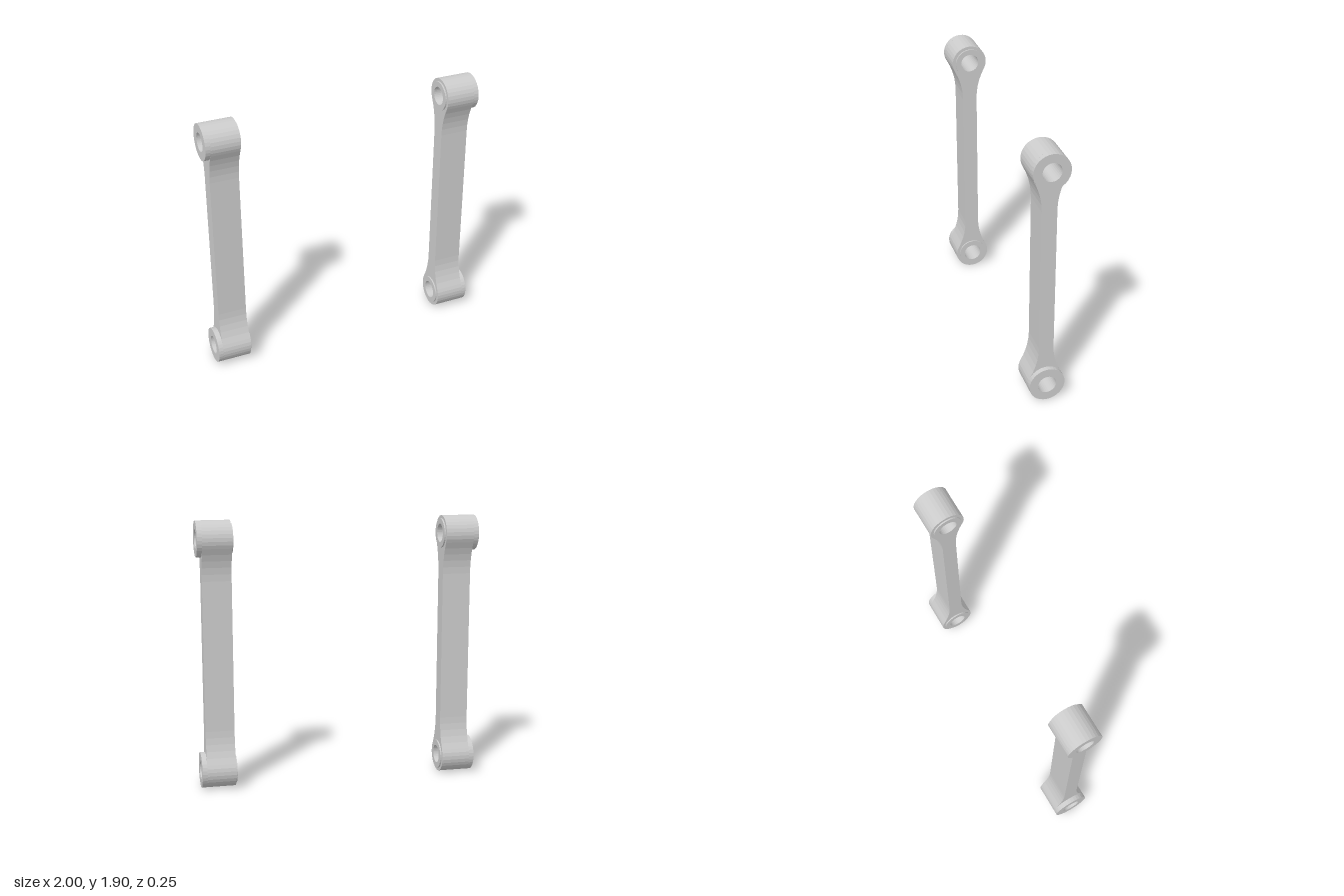
import * as THREE from 'three';

const LOW = 0.126, HIGH = 1.77;             // heights of the two pivot eyes
const EYE = 0.126, HOLE = 0.065, COLLAR = 0.104;
const HALF = 0.052, FILLET = 0.48;          // bar half thickness, flare radius
const BAR_IN = 0.76, BAR_OUT = 0.965, EYE_OUT = 1.0, COLLAR_IN = 0.75;

// points along an arc in the side plane
function arc(cx, cy, r, a0, a1, n) {
  return Array.from({ length: n + 1 }, (_, i) => {
    const a = a0 + (a1 - a0) * i / n;
    return new THREE.Vector2(cx + r * Math.cos(a), cy + r * Math.sin(a));
  });
}

const hole = (y) => new THREE.Path(arc(0, y, HOLE, 0, -Math.PI * 2, 32).slice(0, -1));

// extrude a side-plane shape from x0 to x1
function slab(name, shape, x0, x1, material) {
  const geometry = new THREE.ExtrudeGeometry(shape, { depth: x1 - x0, bevelEnabled: false });
  geometry.rotateY(Math.PI / 2).translate(x0, 0, 0);
  const mesh = new THREE.Mesh(geometry, material);
  mesh.name = name;
  return mesh;
}

function ring(name, y, r, x0, x1, material) {
  const shape = new THREE.Shape(arc(0, y, r, 0, Math.PI * 2, 32).slice(0, -1));
  shape.holes.push(hole(y));
  return slab(name, shape, x0, x1, material);
}

// bar outline: round eyes blending into a slim shank through tangent flares
function barShape() {
  const dx = HALF + FILLET;
  const dy = Math.sqrt((FILLET + EYE) ** 2 - dx * dx);
  const t = Math.atan2(dy, dx);             // angle of the tangent point
  const points = [
    ...arc(0, HIGH, EYE, -t, Math.PI + t, 20),
    ...arc(-dx, HIGH - dy, FILLET, t, 0, 5).slice(1),
    ...arc(-dx, LOW + dy, FILLET, 0, -t, 5),
    ...arc(0, LOW, EYE, Math.PI - t, Math.PI * 2 + t, 20).slice(1),
    ...arc(dx, LOW + dy, FILLET, Math.PI + t, Math.PI, 5).slice(1),
    ...arc(dx, HIGH - dy, FILLET, Math.PI, Math.PI - t, 5).slice(0, -1),
  ];
  const shape = new THREE.Shape(points);
  shape.holes.push(hole(LOW), hole(HIGH));
  return shape;
}

function createLink(name, material) {
  const link = new THREE.Group();
  link.name = name;
  link.add(slab('linkBar', barShape(), BAR_IN, BAR_OUT, material));
  for (const [end, y] of [['lower', LOW], ['upper', HIGH]]) {
    link.add(ring(end + 'Eye', y, EYE, BAR_OUT, EYE_OUT, material));
    link.add(ring(end + 'Collar', y, COLLAR, COLLAR_IN, BAR_IN, material));
  }
  return link;
}

export function createModel() {
  const model = new THREE.Group();
  model.name = 'linkPair';
  const material = new THREE.MeshStandardMaterial({ color: 0xcccccc, flatShading: true });
  const left = createLink('leftLink', material);
  // the link is symmetric front to back, so a half turn mirrors it
  const right = createLink('rightLink', material);
  right.rotation.y = Math.PI;
  model.add(left, right);
  return model;
}
